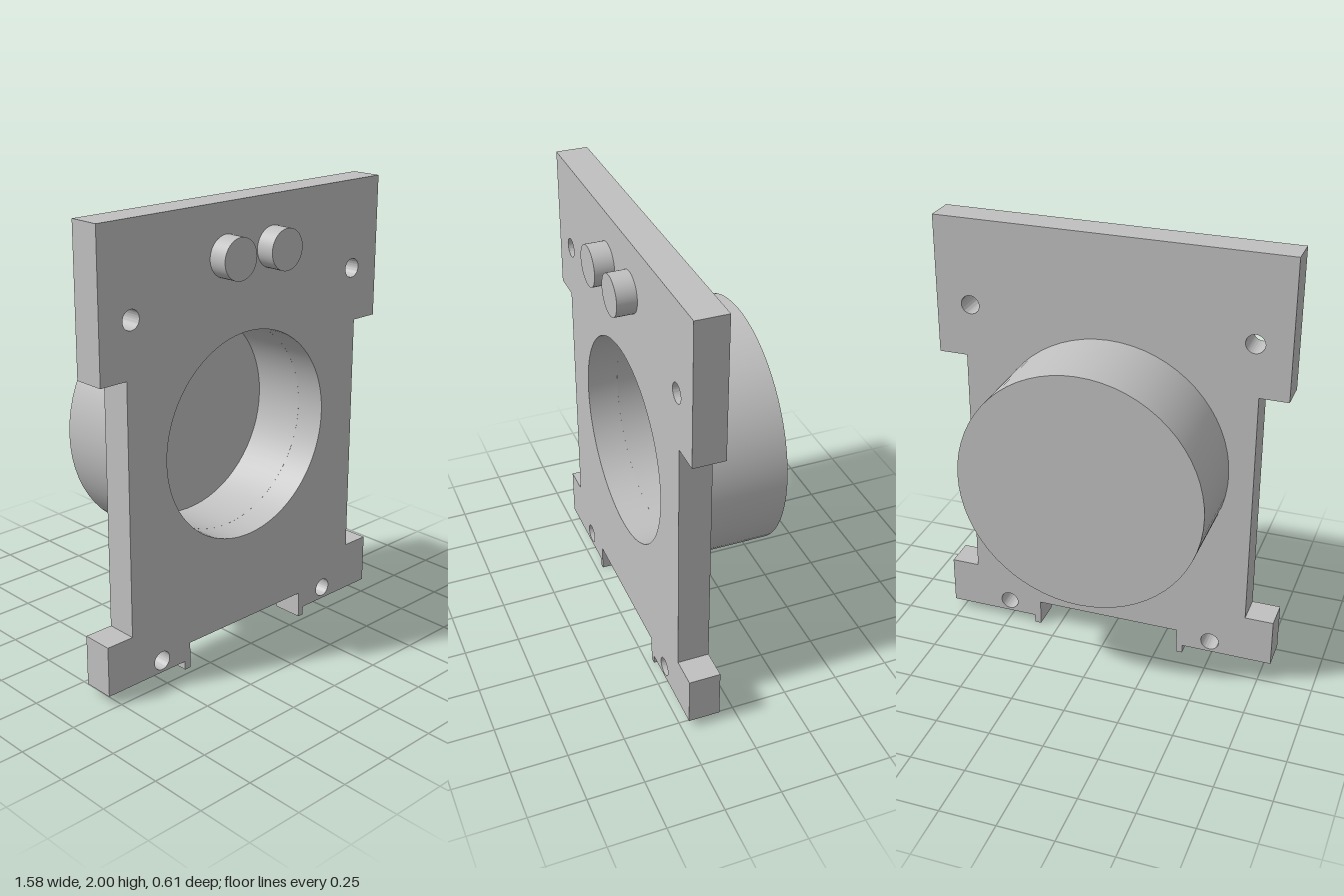
import * as THREE from 'three';
import { toCreasedNormals } from 'three/addons/utils/BufferGeometryUtils.js';

const PLATE_BACK = 0.08, PLATE_FRONT = 0.22, BORE_Y = 0.985, BORE_R = 0.46;

export function createModel() {
  const group = new THREE.Group();
  const grey = new THREE.MeshStandardMaterial({ color: 0xc0c0c0 });
  grey.name = 'grey';

  const add = (name, geometry) => {
    const mesh = new THREE.Mesh(geometry, grey);
    mesh.name = name;
    group.add(mesh);
    return mesh;
  };

  // Plate outline: right half from bottom to top, then mirrored
  const half = [
    [0.34, 0.12], [0.34, 0], [0.37, 0], [0.37, 0.04], [0.79, 0.04], [0.79, 0.265],
    [0.66, 0.265], [0.66, 1.37], [0.79, 1.37], [0.79, 2],
  ];
  const outline = [...half, ...half.map(([x, y]) => [-x, y]).reverse()];
  const shape = new THREE.Shape(outline.map(([x, y]) => new THREE.Vector2(x, y)));

  // Central bore and four screw holes
  const punch = (x, y, r) => shape.holes.push(new THREE.Path().absarc(x, y, r, 0, Math.PI * 2, true));
  punch(0, BORE_Y, BORE_R);
  for (const s of [-1, 1]) {
    punch(s * 0.633, 1.61, 0.042);
    punch(s * 0.5, 0.095, 0.042);
  }
  const plate = new THREE.ExtrudeGeometry(shape, {
    depth: PLATE_FRONT - PLATE_BACK, bevelEnabled: false, curveSegments: 64,
  });
  plate.translate(0, 0, PLATE_BACK);
  add('mountingPlate', toCreasedNormals(plate, 0.6));

  // Round cup behind the plate, open to the front
  const profile = [
    [0, -0.305], [0.55, -0.305], [0.55, PLATE_BACK], [BORE_R, PLATE_BACK], [BORE_R, -0.17], [0, -0.17],
  ].map(([r, z]) => new THREE.Vector2(r, z));
  const cup = new THREE.LatheGeometry(profile, 64);
  cup.rotateX(Math.PI / 2);
  cup.translate(0, BORE_Y, 0);
  add('rearCup', toCreasedNormals(cup, 0.6));

  // Two short pegs on the front
  for (const s of [-1, 1]) {
    const peg = new THREE.CylinderGeometry(0.089, 0.089, 0.085, 48);
    peg.rotateX(Math.PI / 2);
    add(s > 0 ? 'leftPeg' : 'rightPeg', peg).position.set(s * 0.132, 1.78, PLATE_FRONT + 0.0425);
  }

  return group;
}
